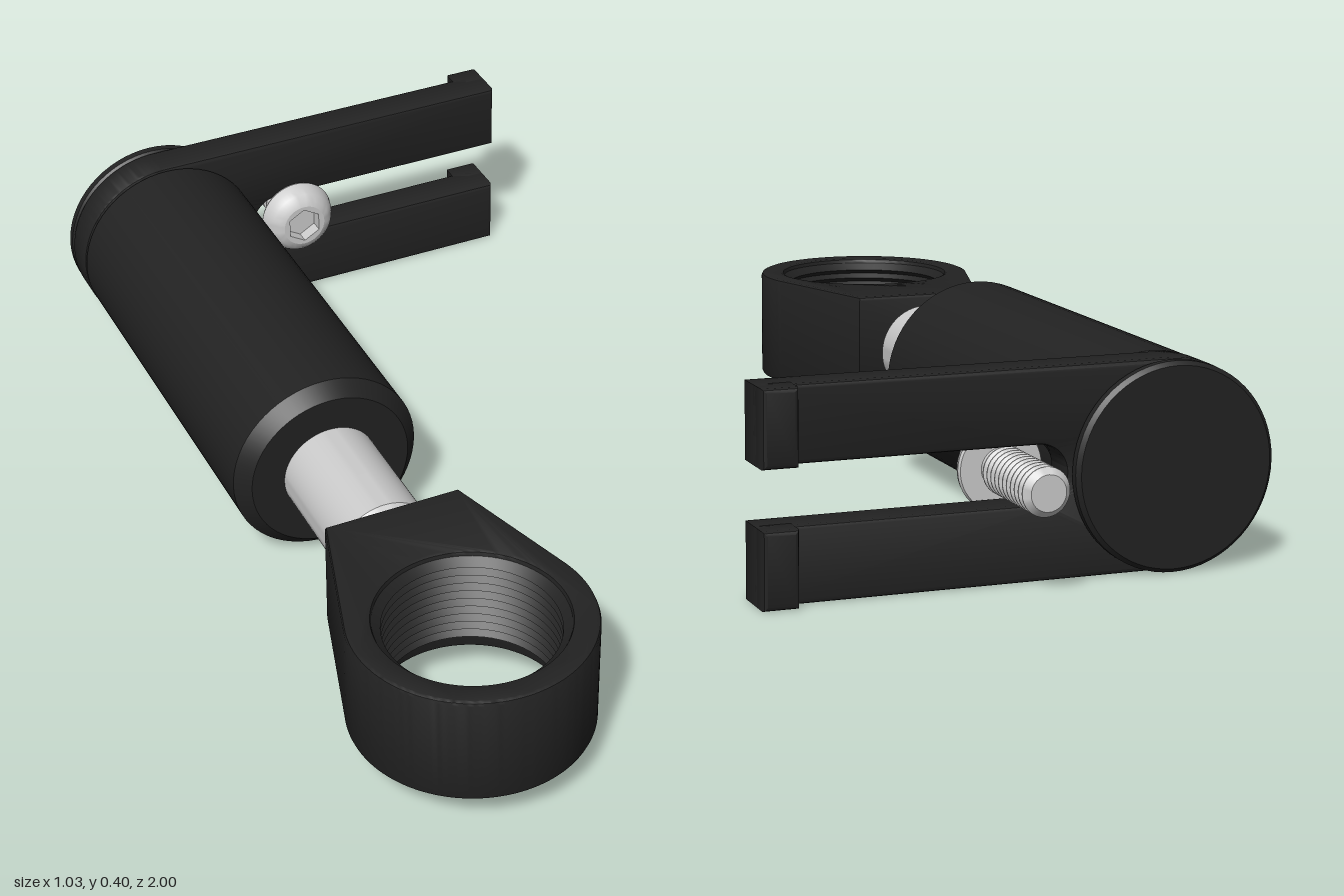
import * as THREE from 'three';
import { toCreasedNormals } from 'three/addons/utils/BufferGeometryUtils.js';

const AXIS_X = -0.28, MID_Y = 0.2, SCREW_X = 0.022;
const dark = new THREE.MeshStandardMaterial({ color: 0x222222 });
const grey = new THREE.MeshStandardMaterial({ color: 0xcccccc });

export function createModel() {
  const model = new THREE.Group();

  function add(name, geometry, material, x = 0, y = 0, z = 0) {
    const mesh = new THREE.Mesh(toCreasedNormals(geometry, 0.5), material);
    mesh.name = name;
    mesh.position.set(x, y, z);
    model.add(mesh);
    return mesh;
  }

  // Turned part along z: profile is [radius, z], with z rising for outward faces
  const turned = (profile, segments = 64) =>
    new THREE.LatheGeometry(profile.map(([r, z]) => new THREE.Vector2(r, z)), segments).rotateX(Math.PI / 2);

  // Extrusion of exact outline and depth with small softened edges
  const slab = (shape, depth, bevel) =>
    new THREE.ExtrudeGeometry(shape, {
      depth: depth - 2 * bevel, bevelEnabled: bevel > 0, bevelSize: bevel, bevelThickness: bevel,
      bevelOffset: -bevel, bevelSegments: 2, curveSegments: 48,
    }).translate(0, 0, bevel);

  // Barrel with chamfered front end
  add('barrel', turned([
    [0, -0.785], [0.19, -0.785], [0.198, -0.775], [0.198, 0.08], [0.17, 0.11], [0, 0.11],
  ]), dark, AXIS_X, MID_Y);

  // Rear cap
  add('endCap', turned([
    [0, -0.89], [0.19, -0.89], [0.198, -0.882], [0.198, -0.867], [0.19, -0.857], [0, -0.857],
  ]), dark, AXIS_X, MID_Y);

  // Rod between barrel and eye
  add('rod', turned([
    [0, 0.05], [0.1, 0.05], [0.1, 0.375], [0.07, 0.412], [0.07, 0.43], [0, 0.43],
  ]), grey, AXIS_X, MID_Y);

  // Forked plate: round hub, two arms and an open slot
  const plate = new THREE.Shape();
  const end = 0.515, slot = 0.055, slotX = -0.02;
  plate.moveTo(end, slot);
  plate.lineTo(end, 0.199);
  plate.lineTo(AXIS_X, 0.199);
  plate.absarc(AXIS_X, 0, 0.199, Math.PI / 2, Math.PI * 1.5, false);
  plate.lineTo(end, -0.199);
  plate.lineTo(end, -slot);
  plate.lineTo(slotX, -slot);
  plate.absarc(slotX, 0, slot, -Math.PI / 2, Math.PI / 2, true);
  plate.closePath();
  add('forkPlate', slab(plate, 0.078, 0.008), dark, 0, MID_Y, -0.86);

  // Hooked lugs at the arm tips
  const lug = new THREE.Shape();
  lug.moveTo(0.447, slot);
  lug.lineTo(end, slot);
  lug.lineTo(end, 0.199);
  lug.lineTo(0.447, 0.199);
  lug.closePath();
  for (const [name, y] of [['upperLug', 0], ['lowerLug', -0.199 - slot]]) {
    add(name, slab(lug, 0.06, 0.008), dark, 0, MID_Y + y, -0.89);
  }

  // Eye: ring with a tapering neck, lying flat
  const eyeZ = 0.763, eyeR = 0.237, boreR = 0.185, top = 0.32, bottom = 0.085;
  const eye = new THREE.Shape();
  const tangent = -0.3;
  eye.moveTo(-0.14, -0.353);
  eye.lineTo(0.14, -0.353);
  eye.absarc(0, 0, eyeR, tangent, Math.PI - tangent, false);
  eye.closePath();
  const bore = new THREE.Path();
  bore.absarc(0, 0, boreR, 0, Math.PI * 2, true);
  eye.holes.push(bore);
  add('eye', slab(eye, top - bottom, 0.008).rotateX(Math.PI / 2), dark, AXIS_X, top, eyeZ);

  // Threaded lining of the bore, falling profile so it faces inward
  const lining = [[boreR + 0.002, top - 0.008], [0.168, top - 0.024]];
  const turns = 9, low = bottom + 0.04, pitch = (top - 0.024 - low) / turns;
  for (let i = 0; i < turns; i++) {
    const y = top - 0.024 - i * pitch;
    lining.push([0.18, y - pitch / 2], [0.168, y - pitch]);
  }
  lining.push([boreR + 0.002, low]);
  add('boreThread', new THREE.LatheGeometry(lining.map(([r, y]) => new THREE.Vector2(r, y)), 64),
    dark, AXIS_X, 0, eyeZ);

  // Screw shank with thread ridges
  const shank = [[0, -1], [0.034, -1]];
  for (let z = -0.988; z < -0.79; z += 0.018) shank.push([0.046, z], [0.046, z + 0.003], [0.037, z + 0.011]);
  shank.push([0.04, -0.775], [0, -0.775]);
  add('screwThread', turned(shank, 32), grey, SCREW_X, MID_Y);

  // Domed screw head
  add('screwHead', turned([
    [0, -0.782], [0.08, -0.782], [0.083, -0.776], [0.079, -0.761], [0.071, -0.746], [0.06, -0.735], [0.048, -0.73],
  ], 48), grey, SCREW_X, MID_Y);

  // Hexagonal socket in the head
  const hub = new THREE.Shape();
  hub.absarc(0, 0, 0.048, 0, Math.PI * 2, false);
  const hex = new THREE.Path();
  hex.setFromPoints(Array.from({ length: 6 }, (_, i) => {
    const a = Math.PI / 2 - i * Math.PI / 3;
    return new THREE.Vector2(0.04 * Math.cos(a), 0.04 * Math.sin(a));
  }));
  hex.closePath();
  hub.holes.push(hex);
  add('screwSocket', slab(hub, 0.03, 0), grey, SCREW_X, MID_Y, -0.76);
  add('socketFloor', new THREE.CircleGeometry(0.045, 24), grey, SCREW_X, MID_Y, -0.758);

  return model;
}
